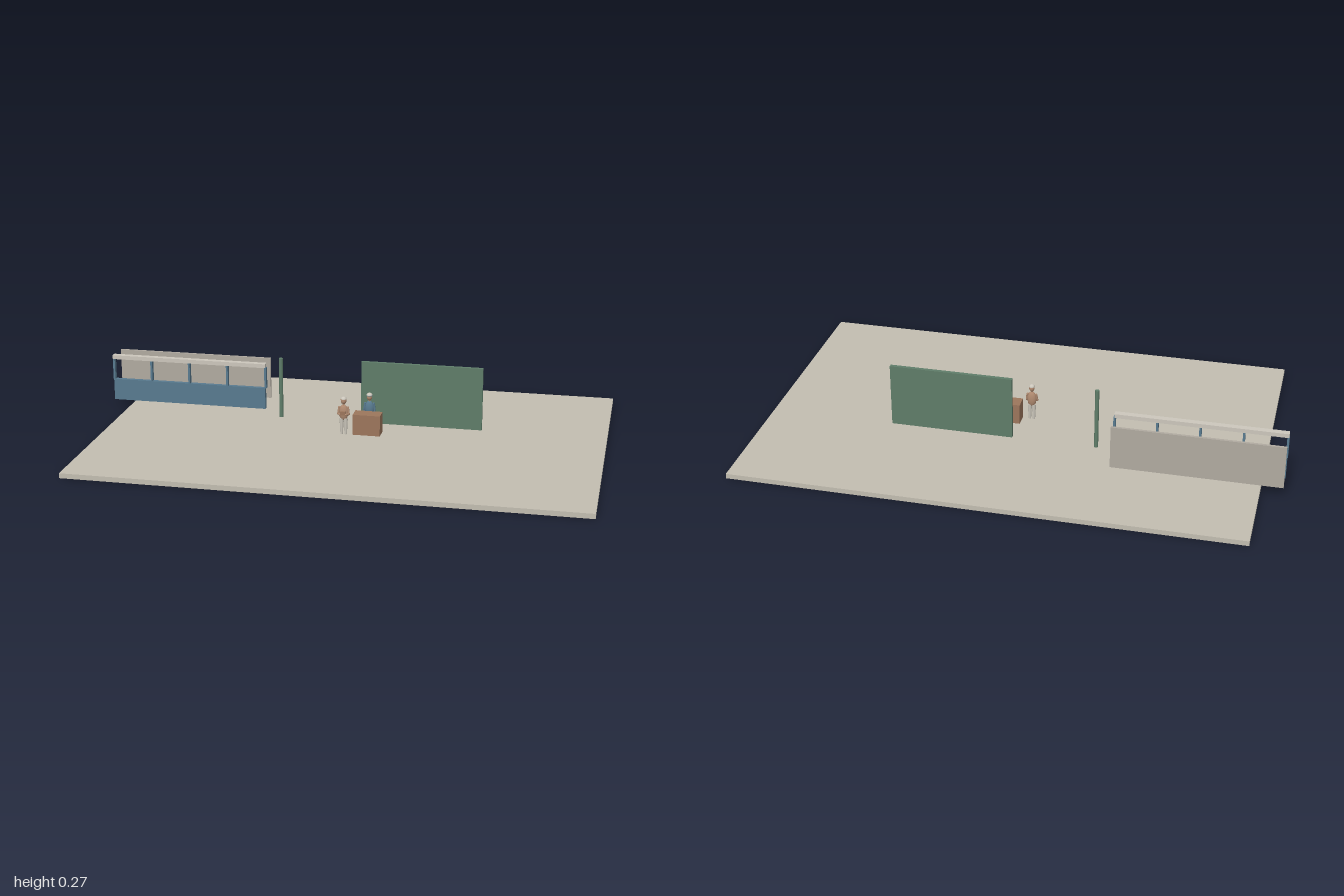
import * as THREE from 'three';

const mat = (name, color) => {
  const m = new THREE.MeshStandardMaterial({ color });
  m.name = name;
  return m;
};

export function createModel() {
  const stone = mat('warm stone', 0xc2bdb0);
  const pale = mat('pale trim', 0xccc7bc);
  const grey = mat('grey wall', 0xb0aaa0);
  const blue = mat('slate blue', 0x587a8f);
  const green = mat('sage green', 0x5f7d69);
  const wood = mat('wood', 0x9c765c);
  const skin = mat('skin', 0xb08a70);
  const root = new THREE.Group();
  root.name = 'stationScene';

  const add = (parent, name, geo, m, x = 0, y = 0, z = 0) => {
    const mesh = new THREE.Mesh(geo, m);
    mesh.name = name;
    mesh.position.set(x, y, z);
    parent.add(mesh);
    return mesh;
  };
  // Box given by its min and max corners
  const box = (parent, name, m, x0, x1, y0, y1, z0, z1) =>
    add(parent, name, new THREE.BoxGeometry(x1 - x0, y1 - y0, z1 - z0), m,
      (x0 + x1) / 2, (y0 + y1) / 2, (z0 + z1) / 2);
  // Ellipsoid given by its radii
  const ball = (parent, name, m, rx, ry, rz, x, y, z) =>
    add(parent, name, new THREE.SphereGeometry(1, 16, 12).scale(rx, ry, rz), m, x, y, z);
  // Rounded limb between two points
  const limb = (parent, name, m, r, a, b) => {
    const p = new THREE.Vector3(...a), q = new THREE.Vector3(...b);
    const d = q.clone().sub(p);
    const mesh = add(parent, name, new THREE.CapsuleGeometry(r, d.length(), 4, 10), m);
    mesh.position.copy(p).add(q).multiplyScalar(0.5);
    mesh.quaternion.setFromUnitVectors(new THREE.Vector3(0, 1, 0), d.normalize());
    return mesh;
  };

  // Ground slab
  box(root, 'floor', stone, -0.916, 1, 0, 0.019, -0.64, 0.64);

  // Carriage side: panel, posts and top rail
  const carriage = new THREE.Group();
  carriage.name = 'carriage';
  root.add(carriage);
  box(carriage, 'lowerPanel', blue, -0.998, -0.363, 0.026, 0.113, -0.216, -0.199);
  for (let i = 0; i < 5; i++) {
    const x = -0.996 + i * 0.1585;
    box(carriage, 'windowPost', blue, x - 0.004, x + 0.004, 0.113, 0.198, -0.216, -0.199);
  }
  box(carriage, 'topRail', pale, -0.999, -0.362, 0.198, 0.214, -0.219, -0.196);
  box(carriage, 'backWall', grey, -0.999, -0.365, 0.041, 0.209, -0.308, -0.298);

  // Signal post and partition
  add(root, 'post', new THREE.CylinderGeometry(0.008, 0.008, 0.242, 16), green, -0.282, 0.14, -0.14);
  box(root, 'partition', green, 0.042, 0.518, 0.019, 0.268, -0.147, -0.133);

  // Desk
  box(root, 'desk', wood, 0.038, 0.144, 0.019, 0.1, -0.04, 0.017);

  // Standing figure, origin at the feet
  const person = (name, coat, x, z, carrying) => {
    const g = new THREE.Group();
    g.name = name;
    g.position.set(x, 0.019, z);
    root.add(g);
    for (const s of [-1, 1]) {
      add(g, 'leg', new THREE.CylinderGeometry(0.0085, 0.005, 0.064, 12), pale, s * 0.008, 0.032, 0);
      const elbow = [s * 0.021, 0.082, carrying ? 0.003 : 0];
      const hand = carrying ? [s * 0.012, 0.084, 0.018] : [s * 0.019, 0.064, 0.004];
      limb(g, 'upperArm', coat, 0.0042, [s * 0.017, 0.108, 0], elbow);
      limb(g, 'forearm', coat, 0.0038, elbow, hand);
      ball(g, 'hand', skin, 0.004, 0.004, 0.004, ...hand);
    }
    ball(g, 'torso', coat, 0.018, 0.032, 0.0115, 0, 0.087, 0);
    add(g, 'neck', new THREE.CylinderGeometry(0.004, 0.004, 0.014, 10), skin, 0, 0.118, 0);
    ball(g, 'head', skin, 0.0105, 0.0135, 0.0115, 0, 0.134, 0);
    // Cap with a short brim
    add(g, 'cap', new THREE.SphereGeometry(0.0118, 16, 6, 0, Math.PI * 2, 0, Math.PI / 2)
      .scale(1, 0.85, 1.02), pale, 0, 0.1405, 0);
    add(g, 'capBrim', new THREE.CylinderGeometry(0.0122, 0.0122, 0.0015, 16), coat, 0, 0.1405, 0.001);
    if (carrying) box(g, 'parcel', wood, -0.009, 0.009, 0.082, 0.096, 0.013, 0.022);
    return g;
  };
  person('visitor', skin, 0.002, 0.013, true);
  person('attendant', blue, 0.09, -0.054, false);

  return root;
}
